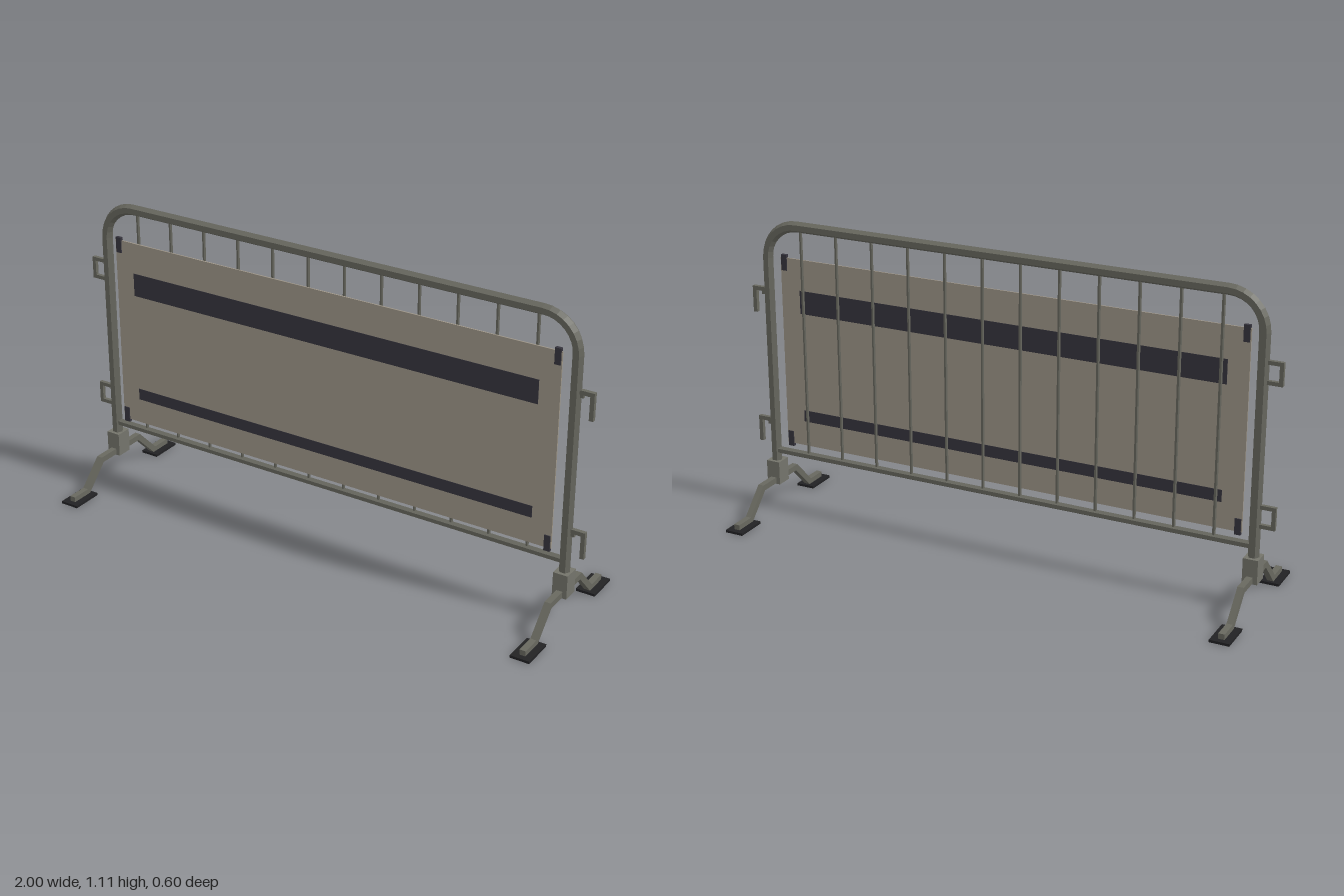
import * as THREE from 'three';

const mat = (name, color) => {
  const m = new THREE.MeshStandardMaterial({ color, side: THREE.DoubleSide, flatShading: true });
  m.name = name;
  return m;
};

// Sweeps a many-sided section along points lying in the xy plane, with mitred bends.
function sweep(pts, radius, sides, turn = 0) {
  const P = pts.map(([x, y]) => new THREE.Vector2(x, y));
  const n = P.length, pos = [], idx = [];
  P.forEach((p, i) => {
    const a = P[Math.max(i, 1)].clone().sub(P[Math.max(i, 1) - 1]).normalize();
    const j = Math.min(i, n - 2);
    const b = P[j + 1].clone().sub(P[j]).normalize();
    const t = a.clone().add(b).normalize();
    const miter = 1 / t.dot(a);
    for (let k = 0; k < sides; k++) {
      const ang = turn + (k / sides) * Math.PI * 2;
      const u = Math.cos(ang) * radius * miter;
      pos.push(p.x + t.y * u, p.y - t.x * u, Math.sin(ang) * radius);
    }
  });
  for (let i = 0; i < n - 1; i++) {
    for (let k = 0; k < sides; k++) {
      const a = i * sides + k, b = i * sides + (k + 1) % sides;
      idx.push(a, a + sides, b, b, a + sides, b + sides);
    }
  }
  const last = (n - 1) * sides;
  for (let k = 1; k < sides - 1; k++) {
    idx.push(0, k, k + 1, last, last + k + 1, last + k);
  }
  // Reverse the winding so that faces point outward
  for (let i = 0; i < idx.length; i += 3) [idx[i + 1], idx[i + 2]] = [idx[i + 2], idx[i + 1]];
  const indexed = new THREE.BufferGeometry();
  indexed.setAttribute('position', new THREE.Float32BufferAttribute(pos, 3));
  indexed.setIndex(idx);
  const g = indexed.toNonIndexed();
  g.computeVertexNormals();
  return g;
}

export function createModel() {
  const steel = mat('steel', 0x68685f);
  const socketSteel = mat('socket steel', 0x74746b);
  const canvas = mat('canvas', 0xa0988a);
  const dark = mat('dark trim', 0x37353e);
  const rubber = mat('black rubber', 0x222224);

  const root = new THREE.Group();
  root.name = 'crowdBarrier';
  const add = (name, geo, m, x = 0, y = 0, z = 0, parent = root) => {
    const mesh = new THREE.Mesh(geo, m);
    mesh.name = name;
    mesh.position.set(x, y, z);
    parent.add(mesh);
    return mesh;
  };
  const box = (w, h, d) => new THREE.BoxGeometry(w, h, d);

  // Bent hoop: two posts and the top rail with rounded corners
  const X = 0.93, TOP = 1.087, R = 0.125;
  const hoop = [[-X, 0.14]];
  for (const [cx, start] of [[-X + R, Math.PI], [X - R, Math.PI / 2]]) {
    for (let i = 0; i <= 8; i++) {
      const a = start - (i / 8) * Math.PI / 2;
      hoop.push([cx + Math.cos(a) * R, TOP - R + Math.sin(a) * R]);
    }
  }
  hoop.push([X, 0.14]);
  add('frameHoop', sweep(hoop, 0.02, 6), steel);
  add('bottomRail', sweep([[-X, 0.223], [X, 0.223]], 0.014, 6), steel);

  // Upright bars
  for (let i = 0; i < 12; i++) {
    const x = -0.789 + (i * 1.578) / 11;
    add('bar', sweep([[x, 0.223], [x, TOP]], 0.0062, 6), steel, 0, 0, -0.001);
  }

  // Sheet with two stripes visible on both faces
  add('sheet', box(1.765, 0.708, 0.005), canvas, 0, 0.611, 0.0105);
  add('upperStripe', box(1.615, 0.086, 0.008), dark, 0, 0.807, 0.0105);
  add('lowerStripe', box(1.615, 0.043, 0.008), dark, 0, 0.373, 0.0105);
  for (const s of [-1, 1]) {
    for (const y of [0.947, 0.275]) add('cornerClip', box(0.022, 0.058, 0.012), dark, s * 0.868, y, 0.0105);
  }

  // Couplings: hooks on the left side, open loops on the right
  for (const y of [0.84, 0.34]) {
    add('hook', sweep([[X, y], [0.99, y], [0.99, y - 0.09]], 0.0105, 4, Math.PI / 4), steel);
    add('hookGusset', box(0.014, 0.026, 0.012), steel, 0.952, y - 0.006, 0);
    const loop = [[-X, y + 0.025], [-0.993, y + 0.025], [-0.993, y - 0.043], [-X, y - 0.043]];
    add('loop', sweep(loop, 0.0095, 4, Math.PI / 4), steel);
  }

  // Stands: socket, two cranked legs and pads under each post
  const legPath = [[0, 0.11], [0.11, 0.11], [0.2, 0.0175], [0.28, 0.0175]];
  for (const sx of [-1, 1]) {
    const stand = new THREE.Group();
    stand.name = sx > 0 ? 'leftStand' : 'rightStand';
    stand.position.x = sx * X;
    root.add(stand);
    add('socket', box(0.053, 0.088, 0.06), socketSteel, 0, 0.14, 0, stand);
    for (const sz of [-1, 1]) {
      const leg = add('leg', sweep(legPath, 0.0156, 4, Math.PI / 4), steel, 0, 0, 0, stand);
      leg.rotation.y = -sz * Math.PI / 2;
      add('footPad', box(0.07, 0.009, 0.12), rubber, 0, 0.0045, sz * 0.24, stand);
    }
  }
  return root;
}
